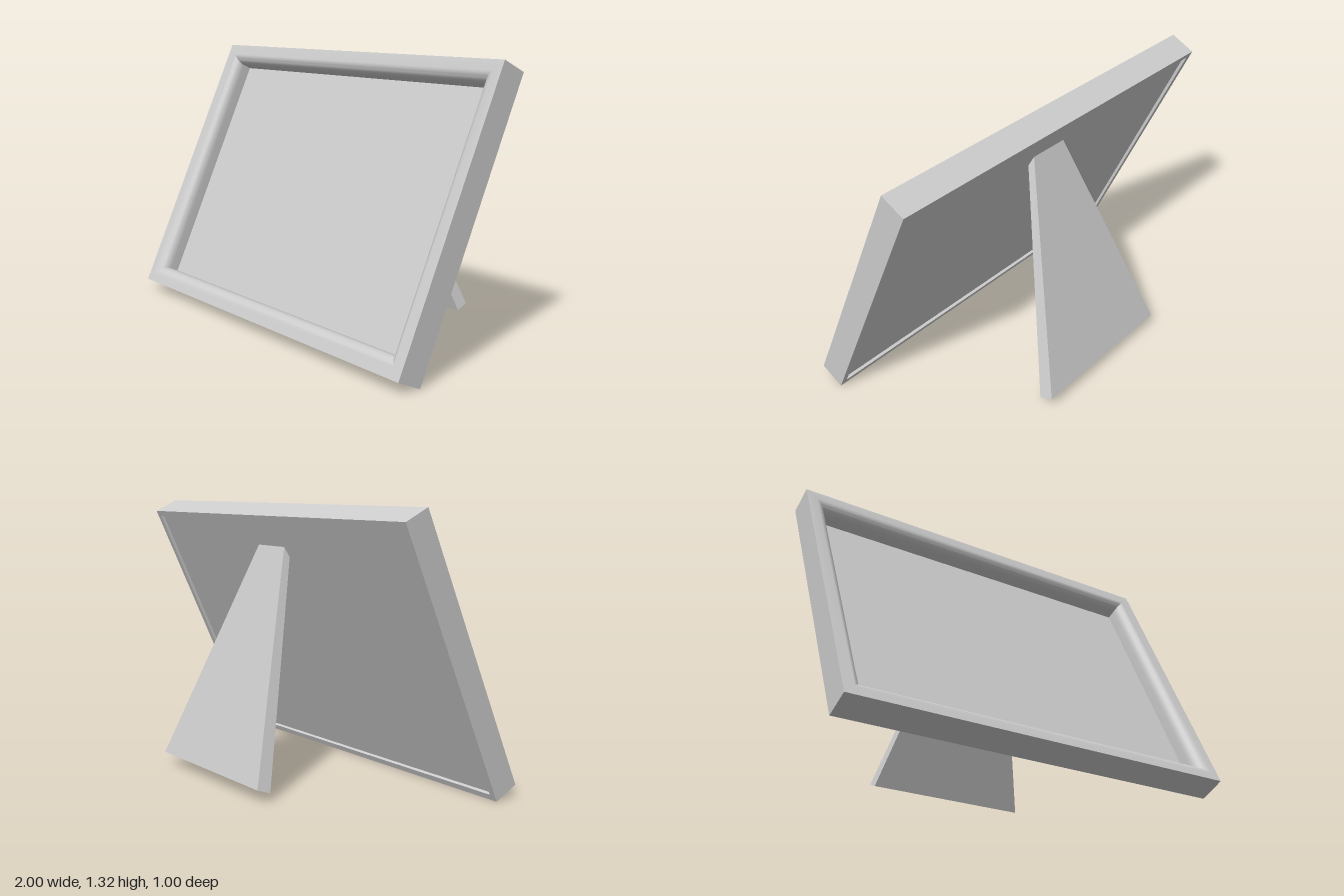
import * as THREE from 'three';
import { toCreasedNormals } from 'three/addons/utils/BufferGeometryUtils.js';

const W = 2, H = 1.389, D = 0.135; // frame width, height, depth
const TILT = THREE.MathUtils.degToRad(24.9);
const LIP = 0.03, PANEL_FRONT = 0.1, PANEL_BACK = 0.12;

// Sweep a closed [inset, depth] profile around the rectangle with mitred corners
function mitredFrame(profile) {
  const corners = [[-1, -1], [1, -1], [1, 1], [-1, 1]];
  const point = ([inset, depth], i) => {
    const [sx, sy] = corners[i % 4];
    return [sx * (W / 2 - inset), H / 2 + sy * (H / 2 - inset), -depth];
  };
  const pos = [];
  profile.forEach((p, j) => {
    const q = profile[(j + 1) % profile.length];
    for (let i = 0; i < 4; i++) {
      const a = point(p, i), b = point(p, i + 1), c = point(q, i + 1), d = point(q, i);
      pos.push(...a, ...b, ...c, ...a, ...c, ...d);
    }
  });
  const geo = new THREE.BufferGeometry();
  geo.setAttribute('position', new THREE.Float32BufferAttribute(pos, 3));
  return toCreasedNormals(geo, THREE.MathUtils.degToRad(30));
}

// Tapered easel leg: a box whose corners are moved to its side profile
function legGeometry() {
  const geo = new THREE.BoxGeometry(1, 1, 1);
  const p = geo.attributes.position;
  for (let i = 0; i < p.count; i++) {
    const top = p.getY(i) > 0, front = p.getZ(i) > 0;
    const [z, y] = front
      ? (top ? [-0.095, 1.08] : [-0.432, 0.036])
      : (top ? [-0.116, 1.13] : [-0.497, 0.06]);
    const x = 0.03 + Math.sign(p.getX(i)) * (0.41 - 0.288 * (y - 0.05));
    p.setXYZ(i, x, y, z - 0.007 * x);
  }
  geo.computeVertexNormals();
  return geo;
}

export function createModel() {
  const group = new THREE.Group();
  const material = new THREE.MeshStandardMaterial({ color: 0xcccccc });
  const add = (parent, name, geo) => {
    const mesh = new THREE.Mesh(geo, material);
    mesh.name = name;
    parent.add(mesh);
    return mesh;
  };

  // Leaning picture frame
  const picture = new THREE.Group();
  picture.name = 'leaningPicture';
  picture.rotation.x = -TILT;
  picture.position.set(0, D * Math.sin(TILT), 0.5);
  group.add(picture);

  // Moulding: flat face, rounded inner edge, rabbet at the back for the panel
  const profile = [[0, D], [0, 0]];
  const r = 0.055, steps = 10;
  for (let i = 0; i <= steps; i++) {
    const t = (i / steps) * Math.PI / 2;
    profile.push([0.04 + r * Math.sin(t), r - r * Math.cos(t)]);
  }
  profile.push([0.04 + r, PANEL_FRONT], [LIP, PANEL_FRONT], [LIP, D]);
  add(picture, 'frameMoulding', mitredFrame(profile));

  // Panel set into the rabbet, slightly recessed from the back
  const panel = add(picture, 'picturePanel',
    new THREE.BoxGeometry(W - 2 * LIP, H - 2 * LIP, PANEL_BACK - PANEL_FRONT));
  panel.position.set(0, H / 2, -(PANEL_FRONT + PANEL_BACK) / 2);

  // Rear support
  add(group, 'easelLeg', legGeometry());
  return group;
}
